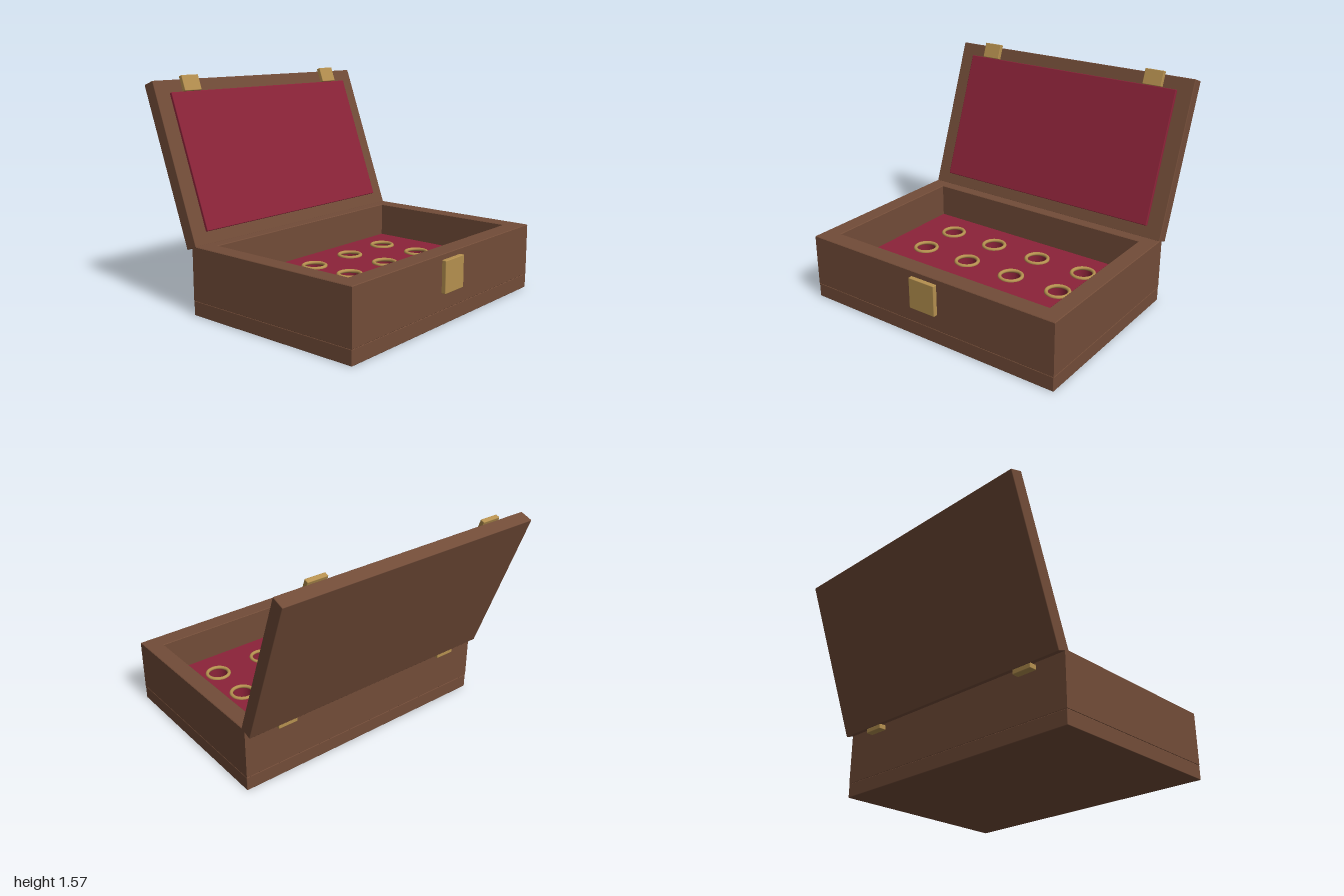
import * as THREE from 'three';
import { RoundedBoxGeometry } from 'three/addons/geometries/RoundedBoxGeometry.js';

export function createModel() {
  const model = new THREE.Group();
  model.name = 'jewelleryBox';
  const material = (name, color) => {
    const m = new THREE.MeshStandardMaterial({ color });
    m.name = name;
    return m;
  };
  const wood = material('walnut', 0x724c38);
  const velvet = material('burgundy velvet', 0x8c2339);
  const brass = material('brass', 0xb5904f);

  const add = (parent, name, geometry, mat) => {
    const mesh = new THREE.Mesh(geometry, mat);
    mesh.name = name;
    parent.add(mesh);
    return mesh;
  };
  // Softened box given by its limits on each axis
  const box = (parent, name, mat, [x0, x1], [y0, y1], [z0, z1]) => {
    const mesh = add(parent, name, new RoundedBoxGeometry(x1 - x0, y1 - y0, z1 - z0, 2, 0.005), mat);
    mesh.position.set((x0 + x1) / 2, (y0 + y1) / 2, (z0 + z1) / 2);
    return mesh;
  };
  // Rectangle in plan; shape y is -z
  const trace = (path, x, zBack, zFront) => {
    path.moveTo(-x, -zFront);
    path.lineTo(x, -zFront);
    path.lineTo(x, -zBack);
    path.lineTo(-x, -zBack);
    path.closePath();
    return path;
  };

  // Plinth and hollow walls
  box(model, 'plinth', wood, [-1, 1], [0, 0.102], [-0.48, 0.89]);
  const b = 0.004;
  const wallShape = trace(new THREE.Shape(), 1 - b, -0.48 + b, 0.89 - b);
  wallShape.holes.push(trace(new THREE.Path(), 0.88 + b, -0.365 - b, 0.76 + b));
  const wallGeometry = new THREE.ExtrudeGeometry(wallShape, {
    depth: 0.375 - 2 * b, bevelThickness: b, bevelSize: b, bevelSegments: 1,
  });
  wallGeometry.rotateX(-Math.PI / 2);
  add(model, 'walls', wallGeometry, wood).position.y = 0.1 + b;

  // Velvet tray with twelve ringed wells
  const trayTop = 0.23, wellFloor = 0.13, wellRadius = 0.076;
  const tray = new THREE.Group();
  tray.name = 'tray';
  model.add(tray);
  const trayShape = trace(new THREE.Shape(), 0.879, -0.364, 0.759);
  const ringGeometry = new THREE.TorusGeometry(0.08, 0.013, 10, 40).rotateX(Math.PI / 2);
  const floorGeometry = new THREE.CircleGeometry(wellRadius + 0.004, 32).rotateX(-Math.PI / 2);
  for (const z of [-0.13, 0.197, 0.523]) {
    for (const x of [-0.582, -0.194, 0.194, 0.582]) {
      const hole = new THREE.Path();
      hole.absarc(x, -z, wellRadius, 0, Math.PI * 2, true);
      trayShape.holes.push(hole);
      add(tray, 'wellRing', ringGeometry, brass).position.set(x, trayTop + 0.003, z);
      add(tray, 'wellFloor', floorGeometry, velvet).position.set(x, wellFloor, z);
    }
  }
  const trayGeometry = new THREE.ExtrudeGeometry(trayShape, {
    depth: trayTop - 0.104, bevelEnabled: false, curveSegments: 32,
  });
  trayGeometry.rotateX(-Math.PI / 2);
  add(tray, 'trayLining', trayGeometry, velvet).position.y = 0.104;

  // Open lid, leaning back; its origin is the lower front edge
  const lid = new THREE.Group();
  lid.name = 'lid';
  lid.position.set(0, 0.472, -0.445);
  lid.rotation.x = -THREE.MathUtils.degToRad(20);
  model.add(lid);
  box(lid, 'lidPanel', wood, [-1, 1], [0, 1.142], [-0.095, 0]);
  box(lid, 'lidLining', velvet, [-0.885, 0.885], [0.086, 1.05], [-0.01, 0.02]);

  // Brass fittings
  box(model, 'latch', brass, [-0.105, 0.105], [0.215, 0.437], [0.88, 0.92]);
  for (const side of [-1, 1]) {
    const span = [side * 0.7 - 0.073, side * 0.7 + 0.073];
    box(lid, 'lidTab', brass, span, [1.05, 1.163], [-0.003, 0.03]);
    box(model, 'hinge', brass, span, [0.41, 0.446], [-0.53, -0.47]);
  }
  return model;
}
